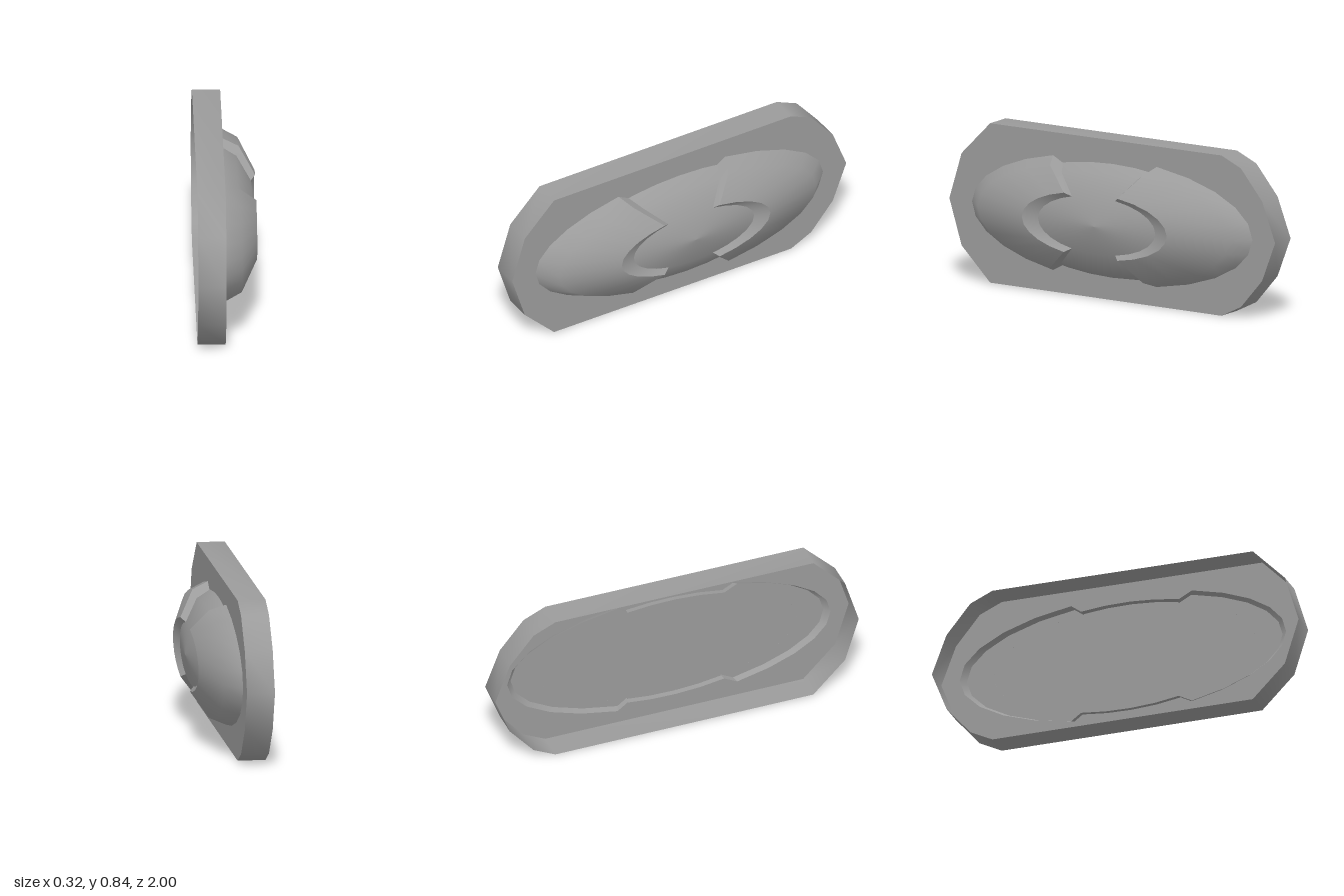
import * as THREE from 'three';

const CY = 0.419;
const DEG = Math.PI / 180;
const FACE_X = -0.015;
const BACK_X = -0.16;
const DOME_X = -0.043;
const material = new THREE.MeshStandardMaterial({ color: 0x9b9b9b, side: THREE.DoubleSide });

// Level of a half ellipsoid at latitude phi: half length, half height, x
const levels = (a, b, c, phis) => phis.map(phi => [
  a * Math.cos(phi * DEG), b * Math.cos(phi * DEG), DOME_X + c * Math.sin(phi * DEG),
]);
const CAP = levels(0.89, 0.344, 0.227, [0, 30, 60]);
const CORE = levels(0.72, 0.302, 0.201, [0, 30, 60]);
const CORE_FRONT = levels(0.72, 0.302, 0.201, [8, 30, 60, 90]);
// The two raised caps: middle angle and half spread
const SECTORS = [[0, 65], [180, 71.5]];
// Gaps between the caps: start and end angle
const GAPS = [[65, 108.5], [251.5, 295]];

const onLevel = ([a, b, x], t) => [x, CY + b * Math.sin(t * DEG), a * Math.cos(t * DEG)];

function named(name, geometry) {
  const mesh = new THREE.Mesh(geometry, material);
  mesh.name = name;
  return mesh;
}

// Surface through rows of points of equal length, optionally closed around
function loft(name, rows, closed = false) {
  const n = rows[0].length;
  const index = [];
  for (let i = 0; i < rows.length - 1; i++) {
    for (let j = 0; j < (closed ? n : n - 1); j++) {
      const k = (j + 1) % n;
      const a = i * n + j, b = a + n, c = i * n + k, d = c + n;
      index.push(a, b, c, b, d, c);
    }
  }
  const g = new THREE.BufferGeometry();
  g.setAttribute('position', new THREE.Float32BufferAttribute(rows.flat(2), 3));
  g.setIndex(index);
  g.computeVertexNormals();
  return named(name, g);
}

function angles(from, to, steps) {
  return Array.from({ length: steps + 1 }, (_, i) => from + (to - from) * i / steps);
}

export function createModel() {
  const model = new THREE.Group();
  model.name = 'domedPlate';

  // Base plate outline as (z, y)
  const outline = [
    [1, 0.42], [0.925, 0.665], [0.75, 0.842], [-0.67, 0.842], [-0.79, 0.788], [-0.92, 0.63],
    [-1, 0.42], [-0.92, 0.212], [-0.79, 0.06], [-0.67, 0], [0.75, 0.005], [0.925, 0.18],
  ];
  const face = new THREE.ShapeGeometry(
    new THREE.Shape(outline.map(([z, y]) => new THREE.Vector2(-z, y))));
  face.rotateY(Math.PI / 2);
  face.translate(FACE_X, 0, 0);
  model.add(named('plateFace', face));

  // Skirt, open at the back
  const rim = [BACK_X, FACE_X].map(x => outline.map(([z, y]) => [x, y, z]));
  model.add(loft('plateRim', rim, true));

  // Central low dome, with its edge showing behind the plate between the caps
  const around = angles(0, 360, 32).slice(0, -1);
  model.add(loft('centreDome', CORE_FRONT.map(l => around.map(t => onLevel(l, t))), true));
  for (const [from, to] of GAPS) {
    const ts = angles(from, to, 4);
    model.add(loft('centreDomeEdge', [CORE[0], CORE_FRONT[0]].map(l => ts.map(t => onLevel(l, t)))));
  }

  // Raised caps with their inner lip and cut ends
  SECTORS.forEach(([mid, spread], i) => {
    const cap = new THREE.Group();
    cap.name = i ? 'rearCap' : 'frontCap';
    const ts = angles(mid - spread, mid + spread, 10);
    cap.add(loft('capShell', CAP.map(l => ts.map(t => onLevel(l, t)))));
    cap.add(loft('capLip', [CAP[2], CORE[2]].map(l => ts.map(t => onLevel(l, t)))));
    for (const t of [ts[0], ts[10]]) {
      cap.add(loft('capEnd', CAP.map((l, k) => [onLevel(l, t), onLevel(CORE[k], t)])));
    }
    model.add(cap);
  });

  return model;
}
